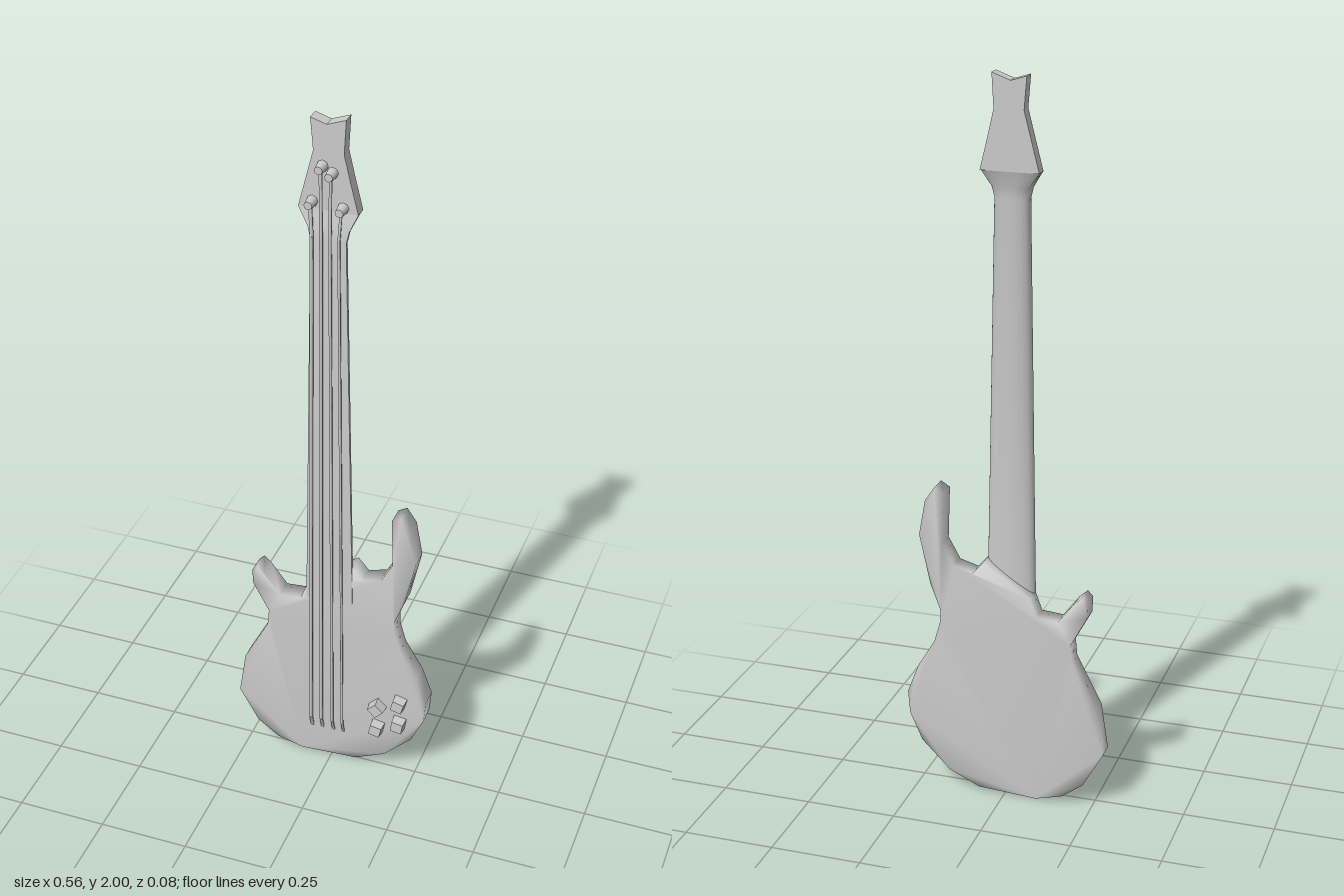
import * as THREE from 'three';
import { mergeVertices, toCreasedNormals } from 'three/addons/utils/BufferGeometryUtils.js';

const material = new THREE.MeshStandardMaterial({ color: 0xcccccc });

function add(parent, name, geometry) {
  const mesh = new THREE.Mesh(geometry, material);
  mesh.name = name;
  parent.add(mesh);
  return mesh;
}

// Flat outline extruded from zBack to zFront, optionally with soft shared normals
function slab(points, zBack, zFront, smooth) {
  const shape = new THREE.Shape(points.map(([x, y]) => new THREE.Vector2(x, y)));
  let geo = new THREE.ExtrudeGeometry(shape, { depth: zFront - zBack, bevelEnabled: false });
  geo.translate(0, 0, zBack);
  if (smooth) {
    geo.deleteAttribute('normal');
    geo.deleteAttribute('uv');
    geo = mergeVertices(geo, 1e-4);
    geo.computeVertexNormals();
  }
  return geo;
}

// Neck: flat front, rounded back, lofted through stations [y, left, right, front, back, roundness]
function neckGeometry(stations) {
  const positions = [], index = [], arc = 10, n = arc + 3;
  for (const [y, xl, xr, zf, zb, round] of stations) {
    const cx = (xl + xr) / 2, hw = (xr - xl) / 2, zm = zf + (zb - zf) * 0.35;
    positions.push(xr, y, zf, xl, y, zf);
    for (let i = 0; i <= arc; i++) {
      const a = Math.PI * i / arc, c = Math.cos(a), s = Math.sin(a);
      const k = 1 / Math.max(Math.abs(c), s);           // blends the arc towards a box
      const f = round + (1 - round) * k;
      positions.push(cx - hw * c * f, y, zm + (zb - zm) * s * f);
    }
  }
  for (let r = 0; r < stations.length - 1; r++) {
    for (let i = 0; i < n; i++) {
      const a = r * n + i, b = r * n + (i + 1) % n;
      index.push(a, a + n, b, b, a + n, b + n);
    }
  }
  const last = (stations.length - 1) * n;
  for (let i = 1; i < n - 1; i++) {
    index.push(0, i, i + 1);
    index.push(last, last + i + 1, last + i);
  }
  const geo = new THREE.BufferGeometry();
  geo.setAttribute('position', new THREE.Float32BufferAttribute(positions, 3));
  geo.setIndex(index);
  return toCreasedNormals(geo, 0.8);
}

// Thin rod between two points
function rod(parent, name, from, to, radius) {
  const a = new THREE.Vector3(...from), b = new THREE.Vector3(...to);
  const dir = b.clone().sub(a);
  const mesh = add(parent, name, new THREE.CylinderGeometry(radius, radius, dir.length(), 6));
  mesh.position.copy(a).add(b).multiplyScalar(0.5);
  mesh.quaternion.setFromUnitVectors(new THREE.Vector3(0, 1, 0), dir.normalize());
}

export function createModel() {
  const bass = new THREE.Group();
  bass.name = 'bassGuitar';

  // Body with two horns
  add(bass, 'body', slab([
    [-0.09, 0], [0.075, 0.01], [0.16, 0.05], [0.24, 0.13], [0.275, 0.21], [0.28, 0.275],
    [0.25, 0.355], [0.2, 0.44], [0.183, 0.5], [0.182, 0.535], [0.21, 0.61], [0.24, 0.75],
    [0.222, 0.85], [0.195, 0.89], [0.17, 0.875], [0.175, 0.73], [0.142, 0.67], [0.09, 0.655],
    [0.06, 0.69], [-0.072, 0.6], [-0.09, 0.55], [-0.15, 0.545], [-0.195, 0.605], [-0.217, 0.625],
    [-0.232, 0.61], [-0.23, 0.565], [-0.185, 0.48], [-0.19, 0.43], [-0.26, 0.295],
    [-0.28, 0.165], [-0.225, 0.065], [-0.165, 0.02],
  ], -0.042, 0.012, true));

  // Neck, bending back into the headstock
  add(bass, 'neck', neckGeometry([
    [0.56, -0.072, 0.062, 0.014, -0.015, 1],
    [1.68, -0.054, 0.04, 0.014, -0.015, 1],
    [1.71, -0.062, 0.046, 0.01, -0.02, 0.7],
    [1.755, -0.09, 0.066, 0, -0.035, 0],
  ]));
  add(bass, 'headstock', slab([
    [-0.09, 1.754], [0.066, 1.754], [0.045, 1.84], [0.029, 1.91], [0.034, 2], [-0.015, 1.982],
    [-0.057, 1.995], [-0.05, 1.91], [-0.068, 1.84],
  ], -0.035, 0, false));

  // Strings and tuning posts: bottom x, nut x, post x, post y
  const strings = [
    [-0.057, -0.046, -0.053, 1.775],
    [-0.026, -0.021, -0.026, 1.873],
    [0.007, 0.002, 0.0, 1.858],
    [0.037, 0.025, 0.027, 1.768],
  ];
  strings.forEach(([xBottom, xNut, xPost, yPost], i) => {
    const radius = 0.005 - i * 0.0004;
    const path = [
      [xBottom, 0.1, 0.012], [xBottom, 0.14, 0.025], [xNut, 1.69, 0.025], [xPost, yPost, 0.014],
    ];
    const string = new THREE.Group();
    string.name = 'string';
    bass.add(string);
    for (let s = 0; s < 3; s++) rod(string, 'stringSegment', path[s], path[s + 1], radius);
    const post = add(bass, 'tuningPost', new THREE.CylinderGeometry(0.011, 0.015, 0.032, 8));
    post.rotation.x = Math.PI / 2;
    post.position.set(xPost, yPost, 0.015);
  });

  // Square, slightly tapered control knobs: x, y, turn
  const knobs = [[0.14, 0.228, 0.78], [0.204, 0.26, -0.25], [0.204, 0.185, -0.15], [0.14, 0.153, -0.2]];
  for (const [x, y, turn] of knobs) {
    const geo = new THREE.CylinderGeometry(0.023, 0.026, 0.03, 4);
    geo.rotateY(Math.PI / 4).rotateX(Math.PI / 2);
    const knob = add(bass, 'controlKnob', toCreasedNormals(geo, 0.5));
    knob.position.set(x, y, 0.026);
    knob.rotation.z = turn;
  }
  return bass;
}
